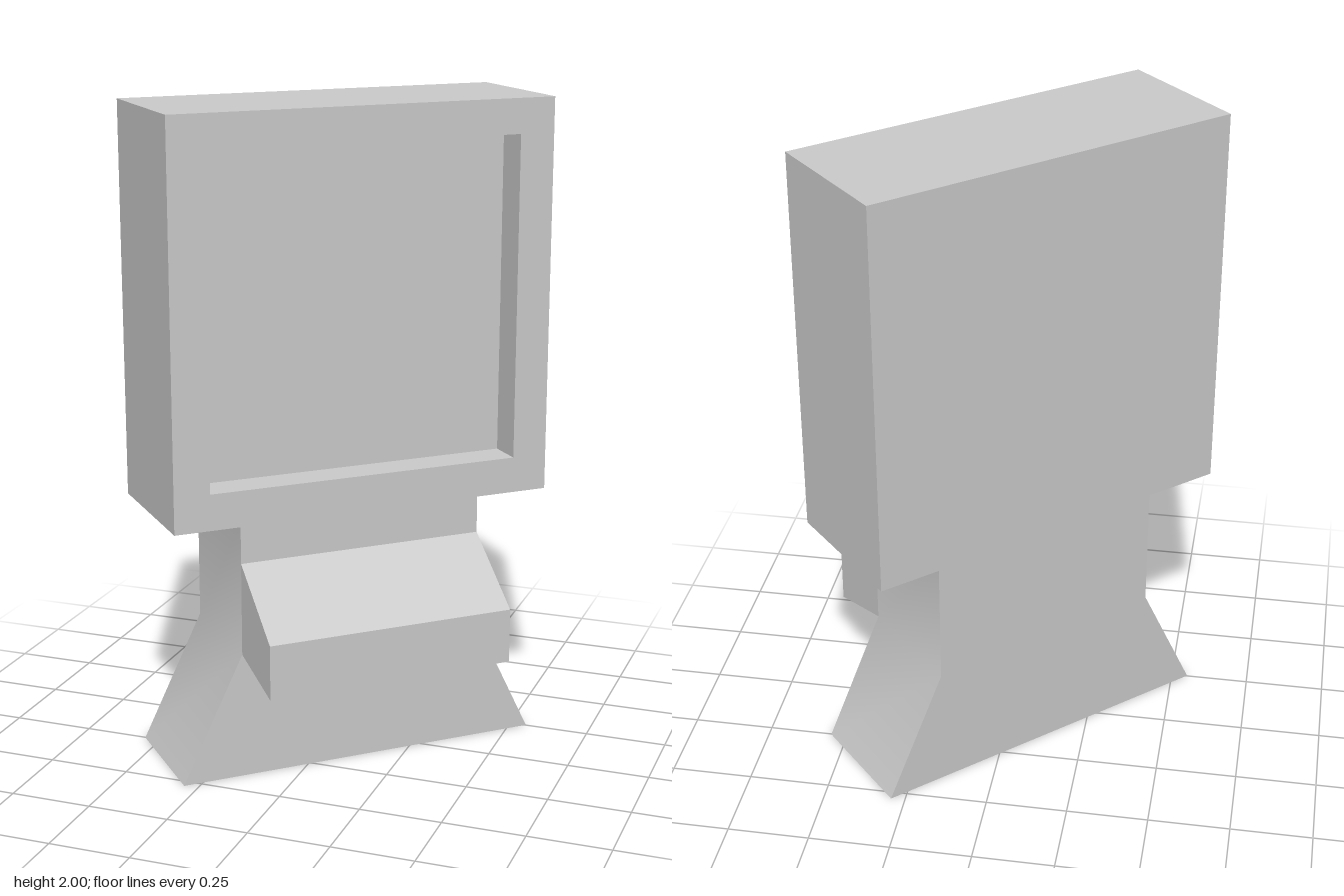
import * as THREE from 'three';
import { toCreasedNormals } from 'three/addons/utils/BufferGeometryUtils.js';

const material = new THREE.MeshStandardMaterial({ color: 0xcccccc });

const outline = (points) => new THREE.Shape(points.map(([x, y]) => new THREE.Vector2(x, y)));

// Extrudes a shape by depth, centred on z = 0
function extrude(shape, depth) {
  return new THREE.ExtrudeGeometry(shape, { depth, bevelEnabled: false }).translate(0, 0, -depth / 2);
}

function addPart(group, name, geometry) {
  const mesh = new THREE.Mesh(geometry, material);
  mesh.name = name;
  group.add(mesh);
  return mesh;
}

export function createModel() {
  const model = new THREE.Group();
  model.name = 'kioskTerminal';

  const headFront = 0.223, recess = 0.108;
  const bodyDepth = 0.38;

  // Flared foot rising into a straight neck, softly shaded at the bend
  const stand = outline([
    [-0.576, 0], [0.576, 0], [0.386, 0.39], [0.386, 0.8], [-0.386, 0.8], [-0.386, 0.39],
  ]);
  addPart(model, 'stand', toCreasedNormals(extrude(stand, bodyDepth), THREE.MathUtils.degToRad(40)));

  // Sloped console shelf: side profile (depth, height) swept across the width
  const shelf = outline([
    [bodyDepth / 2, 0.39], [0.421, 0.333], [0.421, 0.5], [bodyDepth / 2, 0.675],
  ]);
  addPart(model, 'consoleShelf', extrude(shelf, 0.772).rotateY(-Math.PI / 2));

  // Solid rear of the head; its front face is the sunken screen
  const rearDepth = 2 * headFront - recess;
  addPart(model, 'screenHousing', new THREE.BoxGeometry(1.2, 1.2, rearDepth))
    .position.set(0, 1.4, -recess / 2);

  // Frame around the screen
  const frame = outline([[-0.6, 0.8], [0.6, 0.8], [0.6, 2], [-0.6, 2]]);
  frame.holes.push(outline([[-0.49, 0.91], [-0.49, 1.895], [0.49, 1.895], [0.49, 0.91]]));
  addPart(model, 'screenFrame', extrude(frame, recess)).position.z = headFront - recess / 2;

  // The whole terminal stands turned on its axis
  model.rotation.y = THREE.MathUtils.degToRad(42.8);
  return model;
}
